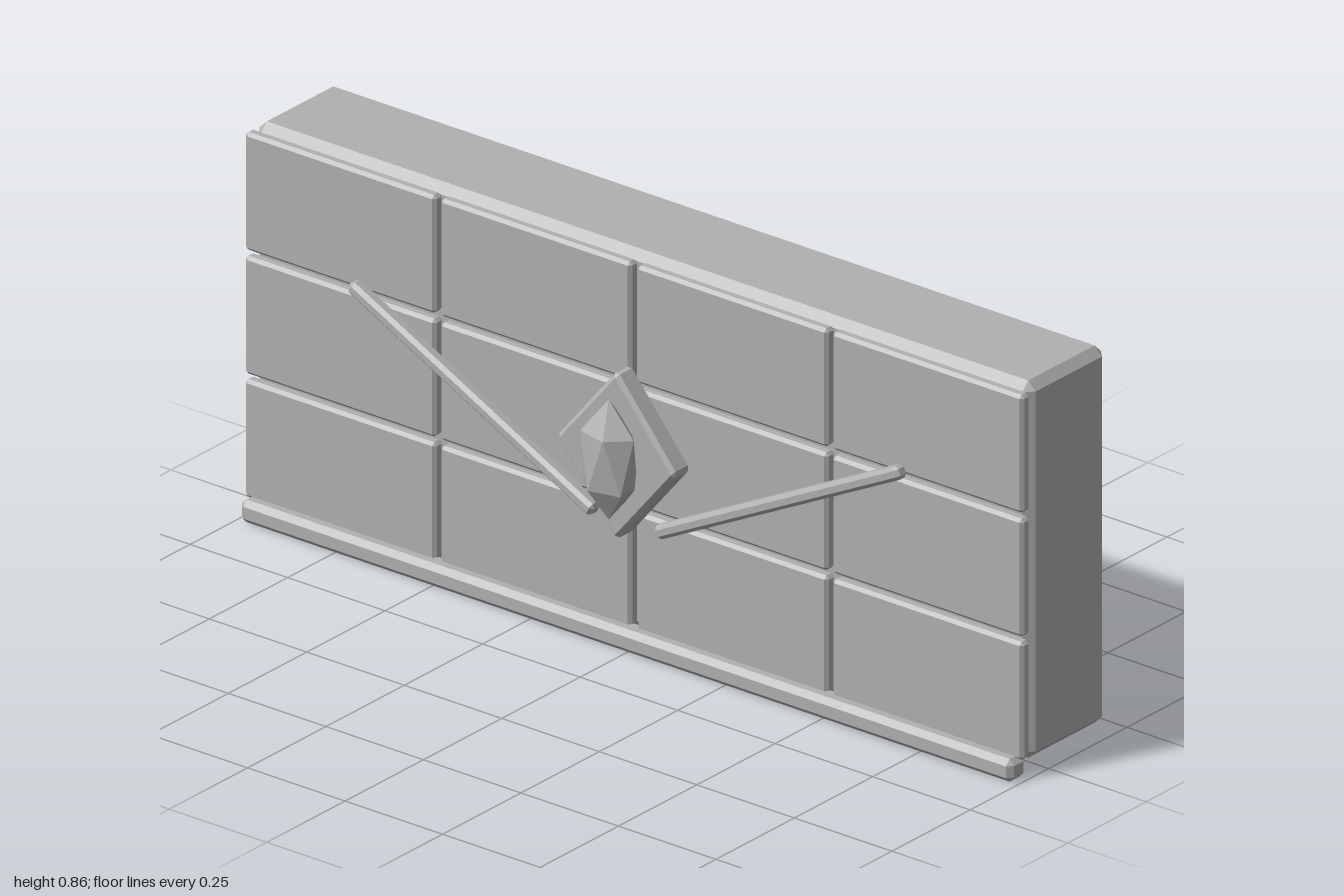
import * as THREE from 'three';
import { ConvexGeometry } from 'three/addons/geometries/ConvexGeometry.js';

const stone = new THREE.MeshStandardMaterial({ color: 0xb0b0b0 });
stone.name = 'grey stone';

// Box of full size w, h, d with every edge cut off by c
function chamferBox(w, h, d, c) {
  const points = [];
  const half = [w / 2, h / 2, d / 2];
  for (const sx of [-1, 1]) for (const sy of [-1, 1]) for (const sz of [-1, 1]) {
    const signs = [sx, sy, sz];
    for (let face = 0; face < 3; face++) {
      const p = half.map((v, i) => signs[i] * (i === face ? v : v - c));
      points.push(new THREE.Vector3(...p));
    }
  }
  return new ConvexGeometry(points);
}

// Five-sided gem: two poles and two staggered rings
function gemGeometry(rx, ry, rz) {
  const points = [new THREE.Vector3(0, ry, 0), new THREE.Vector3(0, -ry, 0)];
  for (let i = 0; i < 5; i++) {
    const a = i * Math.PI * 2 / 5;
    const x = Math.cos(a) * 0.894 * rx;
    const z = Math.sin(a) * 0.894 * rz;
    points.push(new THREE.Vector3(x, 0.447 * ry, z), new THREE.Vector3(-x, -0.447 * ry, -z));
  }
  return new ConvexGeometry(points);
}

export function createModel() {
  const model = new THREE.Group();
  model.name = 'stoneWall';

  function add(name, geometry, x, y, z) {
    const mesh = new THREE.Mesh(geometry, stone);
    mesh.name = name;
    mesh.position.set(x, y, z);
    model.add(mesh);
    return mesh;
  }

  // Main block
  add('wallBlock', chamferBox(1.99, 0.832, 0.25, 0.019), 0, 0.446, -0.071);

  // Front tiles, four columns by three rows
  const tile = chamferBox(0.489, 0.26, 0.028, 0.007);
  for (const y of [0.173, 0.445, 0.718]) {
    for (const x of [-0.754, -0.2525, 0.2515, 0.752]) add('frontTile', tile, x, y, 0.066);
  }

  // Base trim
  add('baseTrim', chamferBox(1.98, 0.05, 0.053, 0.012), 0, 0.025, 0.0825);

  // Slanted bars on both sides of the emblem
  const bar = chamferBox(0.7, 0.03, 0.033, 0.008);
  for (const side of [-1, 1]) {
    const name = side > 0 ? 'leftBar' : 'rightBar';
    add(name, bar, side * 0.393, 0.448, 0.1).rotation.z = side * 0.47;
  }

  // Diamond plate: a square turned on its corner and stretched upward
  const plate = chamferBox(0.218, 0.218, 0.055, 0.008).rotateZ(Math.PI / 4);
  plate.scale(1, 1.21, 1);
  plate.computeVertexNormals();
  add('diamondPlate', plate, 0, 0.446, 0.111);

  // Gem in the middle
  add('gem', gemGeometry(0.0716, 0.1325, 0.0517), -0.002, 0.4455, 0.156);

  return model;
}
